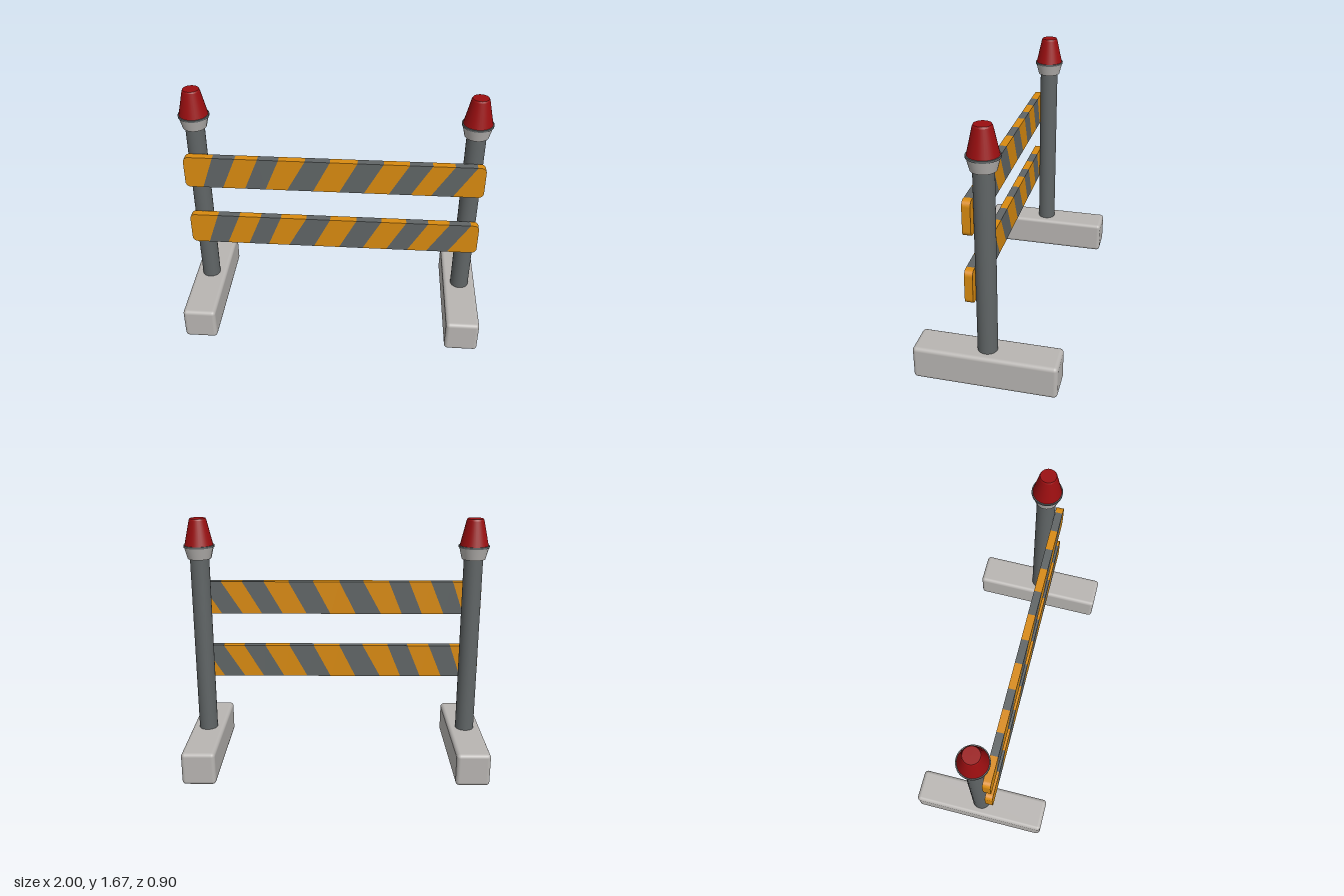
import * as THREE from 'three';
import { RoundedBoxGeometry } from 'three/addons/geometries/RoundedBoxGeometry.js';

const mat = (name, color) => {
  const m = new THREE.MeshStandardMaterial({ color });
  m.name = name;
  return m;
};

export function createModel() {
  const orange = mat('orange', 0xd88a10);
  const grey = mat('dark grey', 0x606566);
  const concrete = mat('light grey', 0xb8b5b2);
  const red = mat('red', 0x9a0e10);

  const model = new THREE.Group();
  model.name = 'roadBarrier';
  const add = (parent, name, geometry, material, x = 0, y = 0, z = 0) => {
    const mesh = new THREE.Mesh(geometry, material);
    mesh.name = name;
    mesh.position.set(x, y, z);
    parent.add(mesh);
    return mesh;
  };

  // Turned lamp parts: lists of [radius, height], upwards
  const lathe = (points) => new THREE.LatheGeometry(points.map(p => new THREE.Vector2(...p)), 32);
  // Separate walls keep the rims crisp
  const lampParts = [
    ['lampCollar', concrete, [[[0, 1.41], [0.076, 1.41]], [[0.076, 1.41], [0.095, 1.485]]]],
    ['lampRim', grey, [[[0, 1.485], [0.099, 1.485]], [[0.099, 1.485], [0.099, 1.498]], [[0.099, 1.498], [0, 1.498]]]],
    ['lampLens', red, [[[0.092, 1.498], [0.056, 1.66]], [[0.056, 1.66], [0.051, 1.67]], [[0.051, 1.67], [0, 1.67]]]],
  ];

  // Foot, post and lamp on each side
  for (const side of [-1, 1]) {
    const support = new THREE.Group();
    support.name = side > 0 ? 'leftSupport' : 'rightSupport';
    support.position.x = side * 0.89;
    model.add(support);
    add(support, 'foot', new RoundedBoxGeometry(0.22, 0.22, 0.9, 3, 0.025), concrete, 0, 0.112);
    add(support, 'post', new THREE.CylinderGeometry(0.062, 0.062, 1.22, 32), grey, 0, 0.81);
    for (const [name, material, walls] of lampParts) {
      const part = new THREE.Group();
      part.name = name;
      support.add(part);
      walls.forEach(w => add(part, name + 'Surface', lathe(w), material));
    }
  }

  // Slanted stripe borders as [x at bottom, x at top]
  const borders = [
    [-0.85, -0.775], [-0.72, -0.63], [-0.575, -0.485], [-0.44, -0.35],
    [-0.30, -0.18], [-0.13, -0.02], [0.04, 0.155], [0.20, 0.32],
    [0.36, 0.485], [0.50, 0.63], [0.63, 0.77], [0.77, 0.91],
  ];
  const halfW = 0.965, h = 0.22, r = 0.035, depth = 0.05;

  // One piece of the plank; the outer pieces have rounded corners
  const pieceShape = (i) => {
    const left = borders[i - 1], right = borders[i];
    const s = new THREE.Shape();
    if (left) {
      s.moveTo(left[1], h).lineTo(left[0], 0);
    } else {
      s.moveTo(-halfW + r, h);
      s.absarc(-halfW + r, h - r, r, Math.PI / 2, Math.PI, false);
      s.absarc(-halfW + r, r, r, Math.PI, Math.PI * 1.5, false);
    }
    if (right) {
      s.lineTo(right[0], 0).lineTo(right[1], h);
    } else {
      s.absarc(halfW - r, r, r, -Math.PI / 2, 0, false);
      s.absarc(halfW - r, h - r, r, 0, Math.PI / 2, false);
    }
    s.closePath();
    return s;
  };

  // Two striped planks in front of the posts
  for (const [name, y] of [['lowerPlank', 0.575], ['upperPlank', 1.02]]) {
    const plank = new THREE.Group();
    plank.name = name;
    plank.position.set(0, y, 0.06);
    model.add(plank);
    for (let i = 0; i <= borders.length; i++) {
      const geometry = new THREE.ExtrudeGeometry(pieceShape(i), { depth, bevelEnabled: false, curveSegments: 6 });
      add(plank, i % 2 ? 'greyStripe' : 'orangeStripe', geometry, i % 2 ? grey : orange);
    }
  }
  return model;
}
